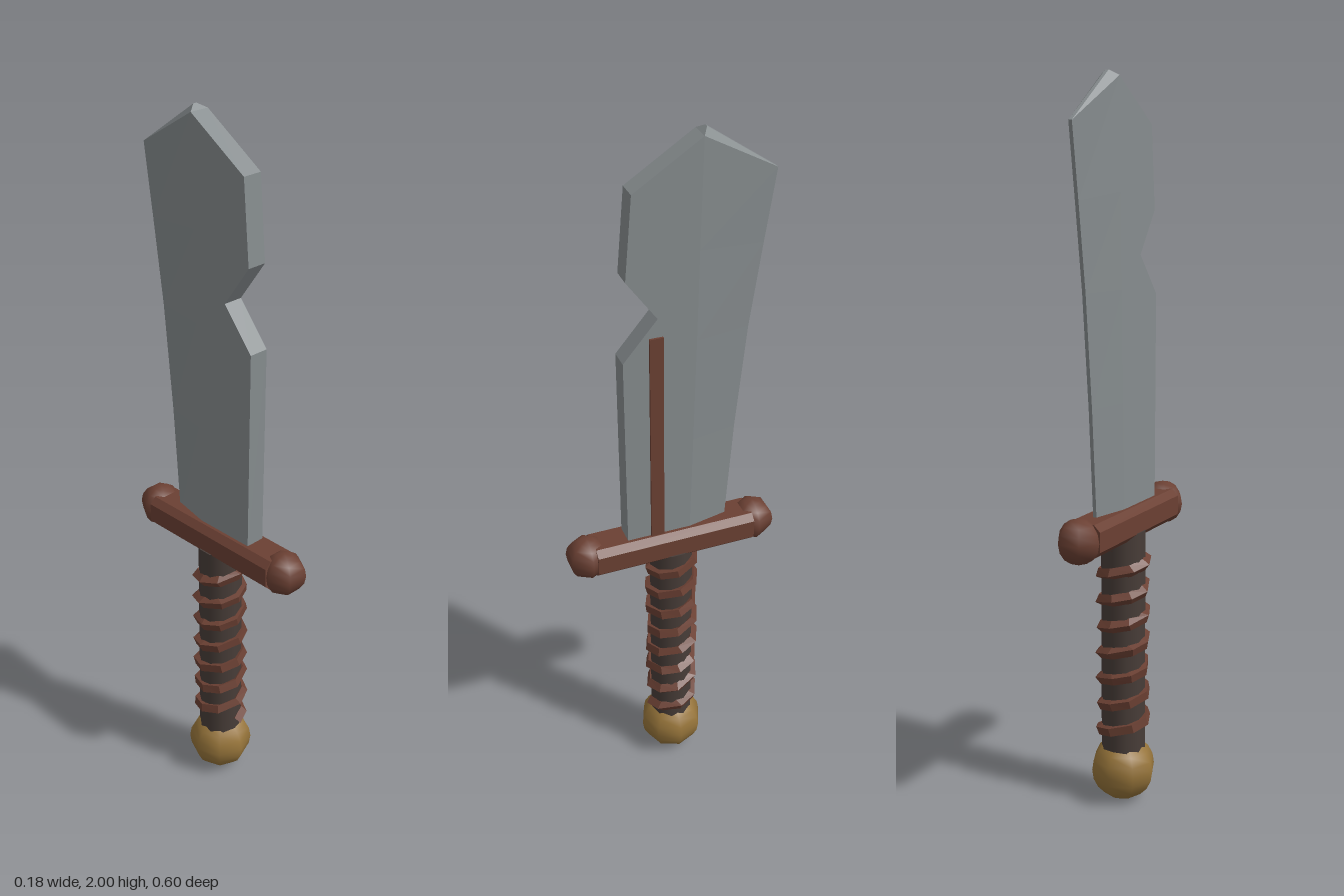
import * as THREE from 'three';

const steel = new THREE.MeshStandardMaterial({ color: 0x868c8e });
steel.name = 'steel';
const leather = new THREE.MeshStandardMaterial({ color: 0x6b4033 });
leather.name = 'brownLeather';
const grip = new THREE.MeshStandardMaterial({ color: 0x483d38 });
grip.name = 'darkGrip';
const brass = new THREE.MeshStandardMaterial({ color: 0x96743a });
brass.name = 'brass';

function part(name, geometry, material, x = 0, y = 0, z = 0) {
  const mesh = new THREE.Mesh(geometry, material);
  mesh.name = name;
  mesh.position.set(x, y, z);
  return mesh;
}

function flat(geometry) {
  const g = geometry.index ? geometry.toNonIndexed() : geometry;
  g.computeVertexNormals();
  return g;
}

const HALF = 0.028;  // half thickness of the blade
const EDGE = 0.005;  // half thickness of the cutting edge

// Rows of the ground bevel: crease z, crease y, edge z, edge y
const bevelRows = [
  [-0.045, 0.83, -0.157, 0.83],
  [-0.053, 1.15, -0.18, 1.15],
  [-0.06, 1.45, -0.21, 1.45],
  [-0.065, 1.7, -0.243, 1.68],
  [-0.072, 1.987, -0.272, 1.872],
  [-0.072, 1.987, -0.087, 2.0],
];

// Thick notched back half of the blade, up to the bevel crease
function bladeBody() {
  const outline = [
    [0.135, 0.83], [0.138, 1.425], [0.045, 1.535], [0.127, 1.65], [0.108, 1.872],
    ...bevelRows.slice(0, 5).reverse().map(([z, y]) => [z, y]),
  ];
  const shape = new THREE.Shape(outline.map(([z, y]) => new THREE.Vector2(-z, y)));
  const g = new THREE.ExtrudeGeometry(shape, { depth: HALF * 2, bevelEnabled: false });
  g.rotateY(Math.PI / 2);
  g.translate(-HALF, 0, 0);
  return flat(g);
}

// Wedge tapering from the crease to the cutting edge
function bladeBevel() {
  const pos = [];
  const sections = bevelRows.map(([cz, cy, ez, ey]) => [
    [HALF, cy, cz], [EDGE, ey, ez], [-EDGE, ey, ez], [-HALF, cy, cz],
  ]);
  const quad = (a, b, c, d) => pos.push(...a, ...b, ...c, ...a, ...c, ...d);
  for (let i = 0; i < sections.length - 1; i++) {
    const lo = sections[i], hi = sections[i + 1];
    for (let k = 0; k < 3; k++) quad(lo[k], lo[k + 1], hi[k + 1], hi[k]);
  }
  quad(...sections[sections.length - 1]);
  const g = new THREE.BufferGeometry();
  g.setAttribute('position', new THREE.Float32BufferAttribute(pos, 3));
  return flat(g);
}

// Chamfered bar along z
function guardBar() {
  const w = 0.055, h = 0.045, c = 0.018, length = 0.46;
  const shape = new THREE.Shape([
    [w, -h + c], [w, h - c], [w - c, h], [c - w, h],
    [-w, h - c], [-w, c - h], [c - w, -h], [w - c, -h],
  ].map(([x, y]) => new THREE.Vector2(x, y)));
  const g = new THREE.ExtrudeGeometry(shape, { depth: length, bevelEnabled: false });
  g.translate(0, 0, -length / 2);
  return flat(g);
}

// Coarse cord wound around the grip
function wrapCord() {
  const turns = 7.5, perTurn = 8, y0 = 0.185, y1 = 0.755;
  const path = new THREE.CurvePath();
  const steps = turns * perTurn;
  const point = (i) => {
    const a = (i / perTurn) * Math.PI * 2;
    return new THREE.Vector3(Math.sin(a) * 0.064, y0 + ((y1 - y0) * i) / steps, Math.cos(a) * 0.064);
  };
  for (let i = 0; i < steps; i++) path.add(new THREE.LineCurve3(point(i), point(i + 1)));
  return flat(new THREE.TubeGeometry(path, steps, 0.017, 4, false));
}

export function createModel() {
  const model = new THREE.Group();
  model.name = 'machete';

  const blade = new THREE.Group();
  blade.name = 'blade';
  blade.add(part('bladeBody', bladeBody(), steel), part('bladeBevel', bladeBevel(), steel));
  model.add(blade);

  // Strip on one face of the blade
  model.add(part('bladeStrip', new THREE.BoxGeometry(0.01, 0.64, 0.037), leather, 0.029, 1.163, 0.05));

  // Guard with a knob at each end
  model.add(part('guard', guardBar(), leather, 0, 0.815, 0));
  for (const side of [1, -1]) {
    const knob = new THREE.SphereGeometry(0.061, 6, 8);
    model.add(part(side > 0 ? 'frontKnob' : 'backKnob', knob, leather, 0, 0.815, side * 0.245));
  }

  // Handle
  model.add(part('grip', new THREE.CylinderGeometry(0.062, 0.062, 0.66, 10), grip, 0, 0.46, 0));
  model.add(part('gripWrap', wrapCord(), leather));
  model.add(part('pommel', new THREE.SphereGeometry(0.092, 8, 10), brass, 0, 0.092, 0));

  return model;
}
